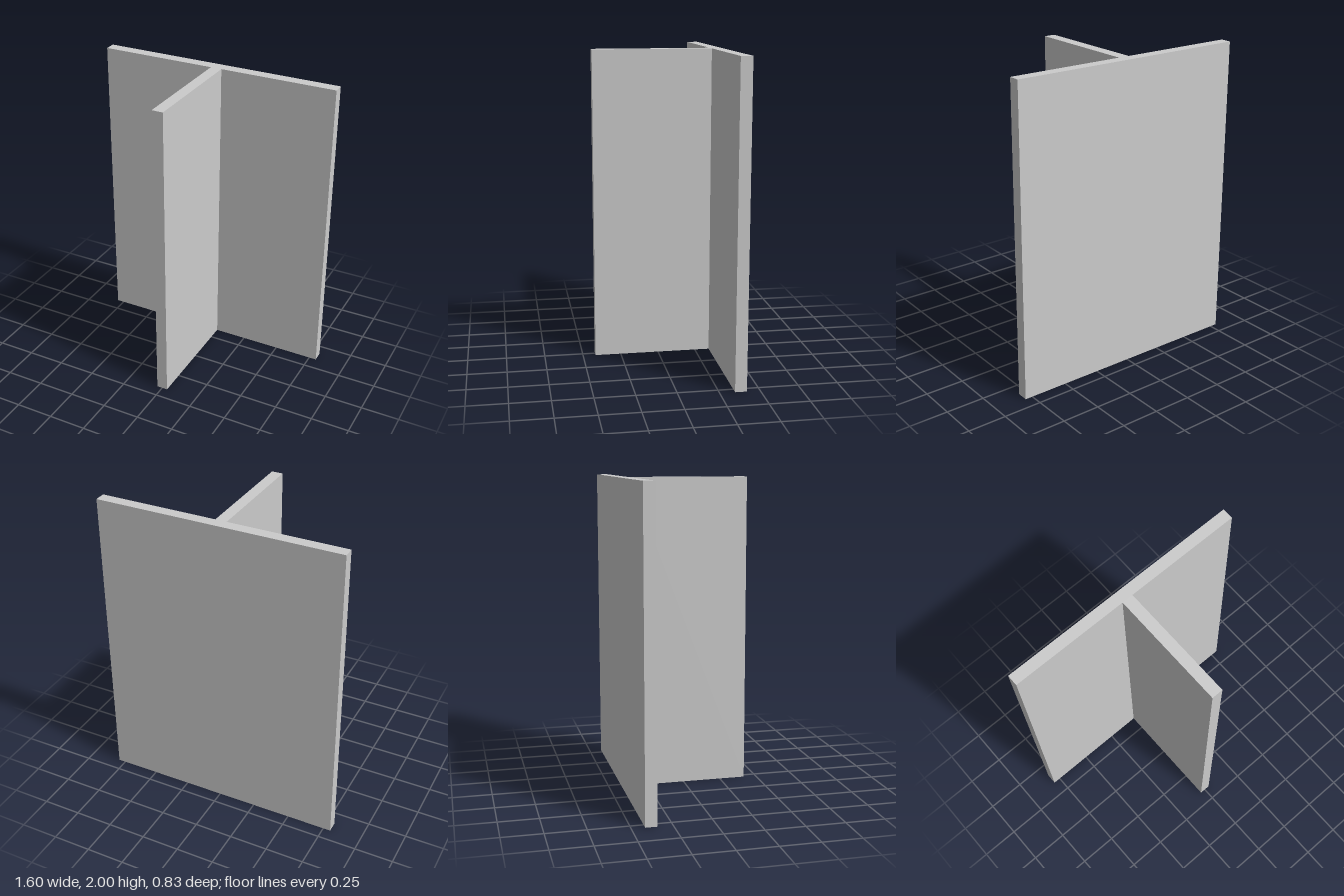
import * as THREE from 'three';

const WIDTH = 1.597, DEPTH = 0.835, HEIGHT = 2, THICKNESS = 0.073;

export function createModel() {
  const group = new THREE.Group();
  group.name = 'teeSection';

  // T-shaped cross-section: the flange lies at the back, the web points forward
  const w = WIDTH / 2, d = DEPTH / 2, t = THICKNESS / 2;
  const inner = d - THICKNESS;
  const profile = new THREE.Shape([
    [-t, -d], [t, -d], [t, inner], [w, inner],
    [w, d], [-w, d], [-w, inner], [-t, inner],
  ].map(([x, y]) => new THREE.Vector2(x, y)));

  // Extrude the section and stand it upright
  const geometry = new THREE.ExtrudeGeometry(profile, { depth: HEIGHT, bevelEnabled: false });
  geometry.rotateX(-Math.PI / 2);

  const beam = new THREE.Mesh(geometry, new THREE.MeshStandardMaterial({ color: 0xcccccc }));
  beam.name = 'teeBeam';
  group.add(beam);
  return group;
}
